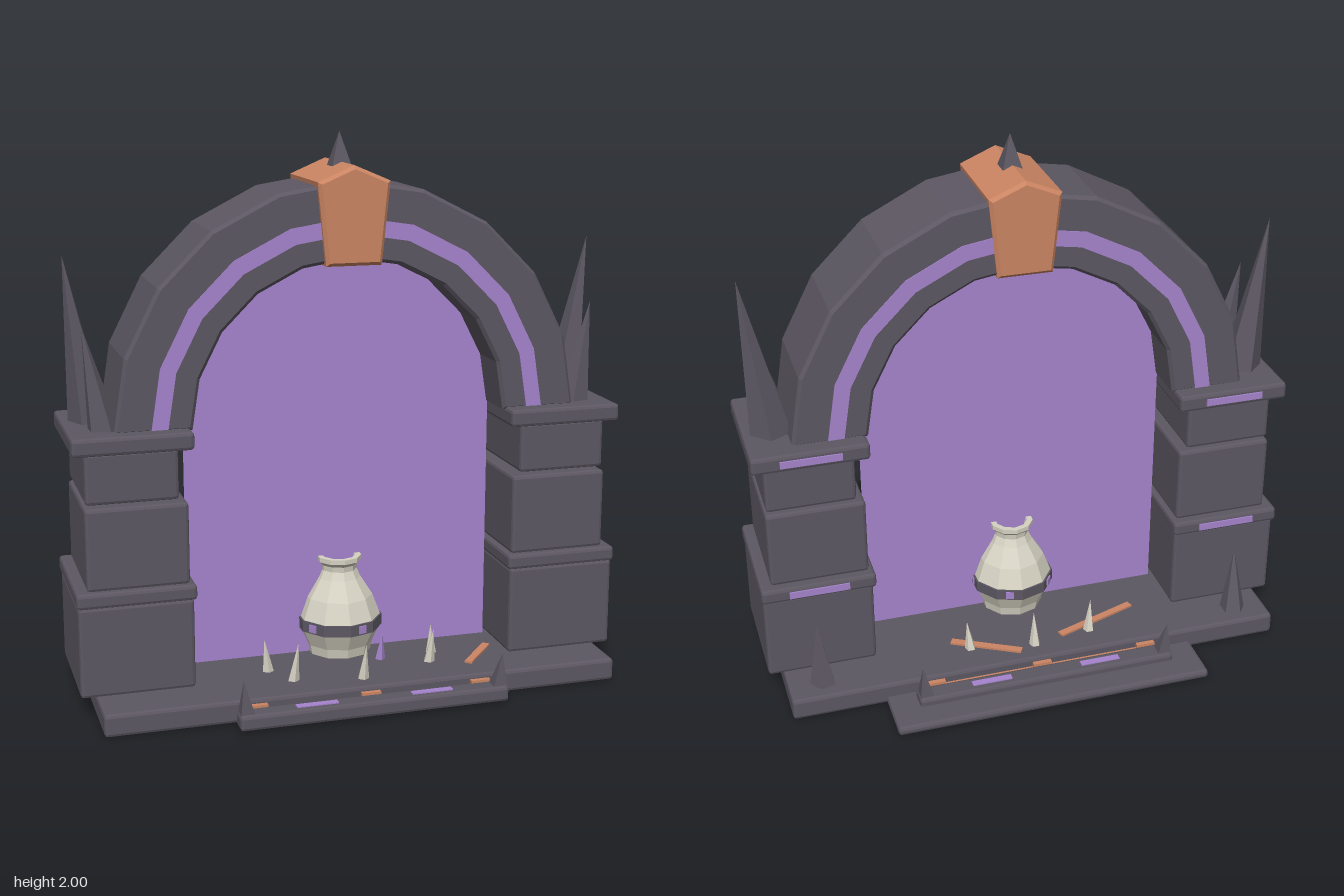
import * as THREE from 'three';
import { RoundedBoxGeometry } from 'three/addons/geometries/RoundedBoxGeometry.js';

const material = (name, color) => {
  const m = new THREE.MeshStandardMaterial({ color });
  m.name = name;
  return m;
};

export function createModel() {
  const stone = material('dark stone', 0x5c5762);
  const violet = material('violet glow', 0xa684cd);
  const portalViolet = material('portal violet', 0xa684cd);
  portalViolet.side = THREE.DoubleSide;
  const copper = material('copper', 0xcb8563);
  const bone = material('bone', 0xd6d2c3);

  const model = new THREE.Group();
  model.name = 'portalArch';

  const flat = (geo) => {
    const g = geo.index ? geo.toNonIndexed() : geo;
    g.computeVertexNormals();
    return g;
  };
  const add = (name, geo, mat, parent = model) => {
    const mesh = new THREE.Mesh(geo, mat);
    mesh.name = name;
    parent.add(mesh);
    return mesh;
  };
  // Chamfered block given by its extents
  const block = (name, x0, x1, y0, y1, z0, z1, mat = stone, bevel = 0.012, parent = model) => {
    const size = [x1 - x0, y1 - y0, z1 - z0];
    const geo = bevel ? flat(new RoundedBoxGeometry(...size, 1, bevel)) : new THREE.BoxGeometry(...size);
    const mesh = add(name, geo, mat, parent);
    mesh.position.set((x0 + x1) / 2, (y0 + y1) / 2, (z0 + z1) / 2);
    return mesh;
  };
  // Cone whose tip leans away from its base
  const spike = (name, base, tip, r, sides, mat = stone, turn = 0) => {
    const h = tip[1] - base[1];
    const geo = new THREE.ConeGeometry(r, h, sides).rotateY(turn).translate(0, h / 2, 0);
    const p = geo.attributes.position;
    for (let i = 0; i < p.count; i++) {
      const t = p.getY(i) / h;
      p.setX(i, p.getX(i) + t * (tip[0] - base[0]));
      p.setZ(i, p.getZ(i) + t * (tip[2] - base[2]));
    }
    add(name, flat(geo), mat).position.set(...base);
  };
  // Half ring of straight segments
  const halfRing = (outer, inner, n = 10) => {
    const pts = [];
    const at = (r, i) => new THREE.Vector2(r * Math.cos(Math.PI * i / n), r * Math.sin(Math.PI * i / n));
    for (let i = 0; i <= n; i++) pts.push(at(outer, i));
    for (let i = n; i >= 0; i--) pts.push(at(inner, i));
    return new THREE.Shape(pts);
  };
  const extrude = (shape, depth, bevel = 0) => new THREE.ExtrudeGeometry(shape, {
    depth: depth - 2 * bevel, bevelEnabled: bevel > 0, bevelThickness: bevel,
    bevelSize: bevel, bevelOffset: -bevel, bevelSegments: 1,
  }).translate(0, 0, bevel);

  // Base slab and steps
  block('baseSlab', -0.94, 0.94, 0.004, 0.085, -0.35, 0.445);
  block('backPlate', -0.595, 0.595, 0.004, 0.037, -0.55, -0.345);
  for (const [side, z0, z1] of [['front', 0.465, 0.54], ['back', -0.45, -0.37]]) {
    const zm = (z0 + z1) / 2;
    const s = Math.sign(zm);
    block(side + 'Step', -0.49, 0.49, 0.01, 0.066, z0, z1);
    const inner = s > 0 ? 0.456 : -0.36;
    block(side + 'StepInlay', -0.44, 0.44, 0.015, 0.05, inner - 0.012, inner + 0.012, copper, 0);
    for (const x of [-0.41, 0, 0.41])
      block(side + 'StepStud', x - 0.035, x + 0.035, 0.03, 0.07, inner - 0.009, inner + 0.009, copper, 0);
    for (const x of [-0.21, 0.21])
      block(side + 'StepRune', x - 0.075, x + 0.075, 0.064, 0.07, zm - 0.013, zm + 0.013, violet, 0);
    for (const x of [-0.46, 0.46])
      spike(side + 'StepSpike', [x, 0.06, zm], [x + 0.012 * Math.sign(x), 0.185, zm + 0.01 * s], 0.036, 4, stone, Math.PI / 4);
  }

  // Piers
  for (const s of [-1, 1]) {
    const pier = new THREE.Group();
    pier.name = s > 0 ? 'leftPier' : 'rightPier';
    model.add(pier);
    const course = (name, a, b, y0, y1, z0, z1, mat, bevel) =>
      block(name, Math.min(s * a, s * b), Math.max(s * a, s * b), y0, y1, z0, z1, mat, bevel, pier);
    course('lowerBlock', 0.59, 0.995, 0.085, 0.412, -0.17, 0.28);
    course('middleBand', 0.58, 1.0, 0.41, 0.465, -0.19, 0.29);
    course('middleBlock', 0.6, 0.96, 0.463, 0.757, -0.155, 0.265);
    course('core', 0.74, 0.84, 0.74, 0.79, 0.03, 0.08, stone, 0);
    course('upperBlock', 0.63, 0.955, 0.768, 0.95, -0.15, 0.255);
    course('capital', 0.58, 1.0, 0.947, 1.01, -0.19, 0.29);
    for (const y of [0.437, 0.978])
      course('bandRune', 0.68, 0.9, y - 0.013, y + 0.013, -0.196, -0.188, violet, 0);

    // Leaning horns on the capitals and rear base corners
    spike('largeHorn', [s * 0.895, 1.0, 0.005], [s * 0.975, 1.595, 0.01], 0.078, 5, stone, s * 0.5);
    spike('smallHorn', [s * 0.87, 1.0, 0.155], [s * 0.935, 1.37, 0.145], 0.06, 5, stone, s * 0.9);
    spike('rearSpike', [s * 0.81, 0.08, -0.26], [s * 0.82, 0.33, s > 0 ? -0.25 : -0.22], 0.05, 5, stone, s * 0.3);
  }

  // Arch with a glowing stripe on both faces
  add('arch', extrude(halfRing(0.845, 0.572), 0.345, 0.012), stone).position.set(0, 1, -0.123);
  for (const z of [0.22, -0.127])
    add('archStripe', extrude(halfRing(0.718, 0.66), 0.006), violet).position.set(0, 1, z);

  // Keystone
  const keyShape = new THREE.Shape([
    [-0.1, 1.55], [0.1, 1.55], [0.13, 1.84], [0, 1.895], [-0.13, 1.84],
  ].map(([x, y]) => new THREE.Vector2(x, y)));
  add('keystone', extrude(keyShape, 0.39, 0.012), copper).position.z = -0.14;
  spike('keystoneSpike', [0, 1.87, 0.055], [0, 2, 0.055], 0.054, 4, stone, Math.PI / 4);

  // Portal sheet
  const sheet = new THREE.Shape();
  sheet.moveTo(-0.576, 0.08);
  sheet.lineTo(0.576, 0.08);
  sheet.lineTo(0.576, 1);
  for (let i = 0; i <= 10; i++)
    sheet.lineTo(0.576 * Math.cos(Math.PI * i / 10), 1 + 0.576 * Math.sin(Math.PI * i / 10));
  add('portal', new THREE.ShapeGeometry(sheet), portalViolet).position.z = 0.05;

  // Urn
  const urn = new THREE.Group();
  urn.name = 'urn';
  urn.position.z = 0.05;
  model.add(urn);
  const profile = [
    [0, 0.07], [0.115, 0.07], [0.125, 0.12], [0.153, 0.18], [0.155, 0.22], [0.125, 0.3], [0.08, 0.37],
    [0.066, 0.4], [0.068, 0.42], [0.084, 0.435], [0.084, 0.452], [0.062, 0.452], [0.05, 0.4], [0, 0.38],
  ].map(([x, y]) => new THREE.Vector2(x, y));
  add('urnBody', flat(new THREE.LatheGeometry(profile, 10)), bone, urn);
  add('urnBand', flat(new THREE.CylinderGeometry(0.16, 0.16, 0.042, 10)), stone, urn).position.y = 0.203;
  for (let i = 0; i < 5; i++) {
    const a = (i * 2 + 0.5) * Math.PI / 5;
    const gem = add('urnGem', new THREE.BoxGeometry(0.03, 0.028, 0.008), violet, urn);
    gem.position.set(0.154 * Math.sin(a), 0.203, 0.154 * Math.cos(a));
    gem.rotation.y = a;
  }
  add('undersideDisc', new THREE.CircleGeometry(0.22, 14).rotateX(Math.PI / 2), bone).position.set(0, 0.002, 0.05);

  // Bone shards around the urn: x, z, tip x, tip y, tip z
  for (const [x, z, tx, ty, tz] of [
    [-0.245, 0.31, -0.23, 0.23, 0.33], [0, 0.36, 0.005, 0.22, 0.385], [0.28, 0.27, 0.29, 0.215, 0.29],
    [-0.225, -0.235, -0.235, 0.21, -0.22], [0, -0.265, 0, 0.22, -0.25], [0.24, -0.22, 0.25, 0.2, -0.21],
    [-0.31, 0.2, -0.325, 0.21, 0.21], [0.315, 0.19, 0.31, 0.2, 0.2],
  ]) spike('boneShard', [x, 0.08, z], [tx, ty, tz], 0.022, 5, bone);
  spike('violetShard', [0.115, 0.08, 0.2], [0.12, 0.19, 0.21], 0.02, 4, violet);

  // Copper strips on the floor
  for (const [x0, z0, x1, z1] of [
    [-0.43, -0.13, -0.11, -0.24], [0.06, -0.295, 0.3, -0.165], [0.41, 0.335, 0.54, 0.18],
  ]) {
    const strip = add('floorStrip', new THREE.BoxGeometry(Math.hypot(x1 - x0, z1 - z0), 0.01, 0.028), copper);
    strip.position.set((x0 + x1) / 2, 0.088, (z0 + z1) / 2);
    strip.rotation.y = -Math.atan2(z1 - z0, x1 - x0);
  }

  return model;
}
